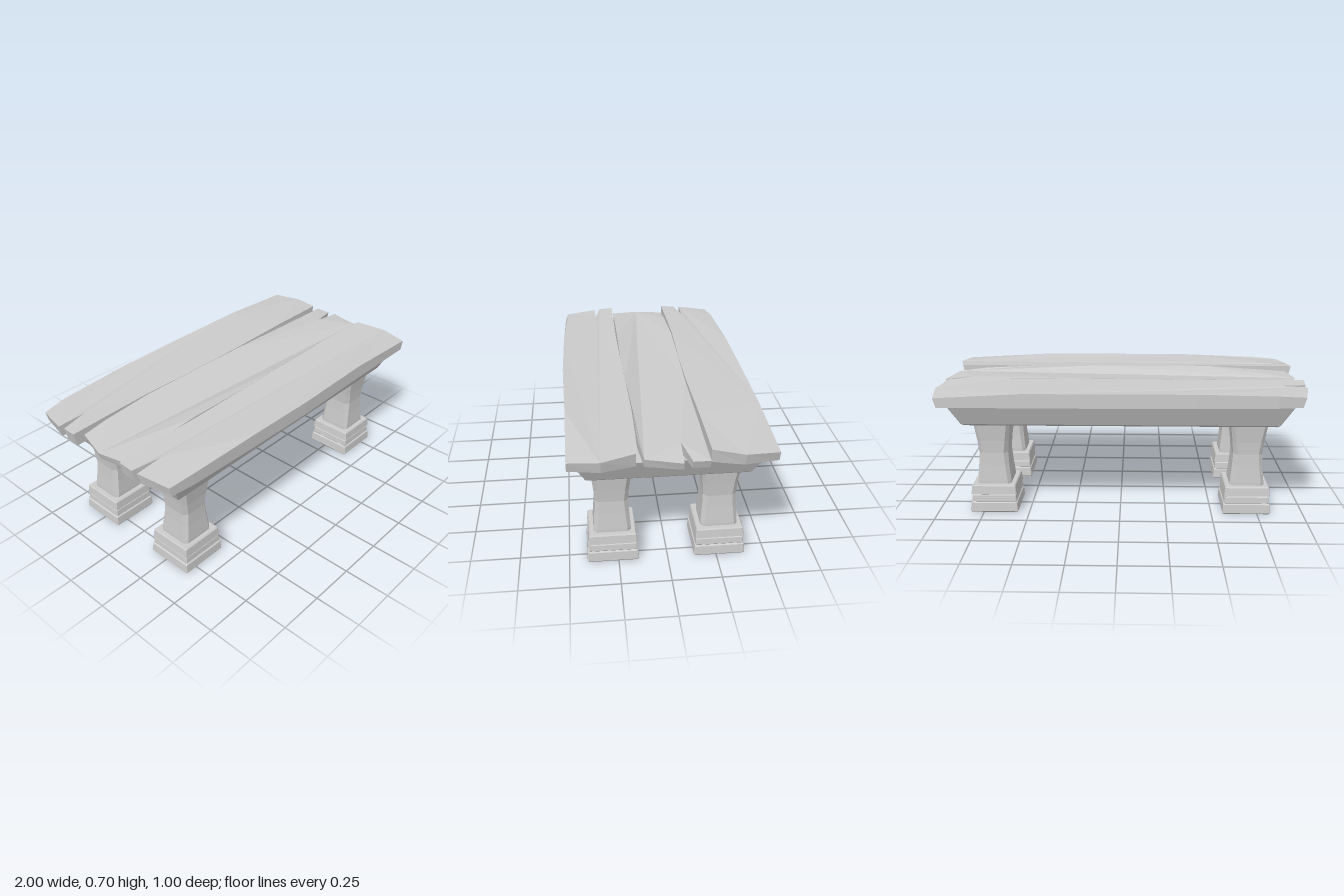
import * as THREE from 'three';

const stone = new THREE.MeshStandardMaterial({ color: 0xcccccc, flatShading: true });

// Rectangular ring with chamfered corners, counter-clockwise seen from above
function ring([hx, hz, y, c = 0.004, ox = 0, oz = 0]) {
  const a = hx - c, b = hz - c;
  return [[hx, b], [hx, -b], [a, -hz], [-a, -hz], [-hx, -b], [-hx, b], [-a, hz], [a, hz]]
    .map(([x, z]) => new THREE.Vector3(x + ox, y, z + oz));
}

// Skin a stack of rings, listed along the surface from its lower end to its upper end
function loft(sections, capStart, capEnd) {
  const rings = sections.map(ring), pos = [];
  const tri = (...pts) => pts.forEach(p => pos.push(p.x, p.y, p.z));
  for (let i = 0; i < rings.length - 1; i++) {
    for (let k = 0; k < 8; k++) {
      const n = (k + 1) % 8, lo = rings[i], hi = rings[i + 1];
      tri(lo[k], lo[n], hi[n]);
      tri(lo[k], hi[n], hi[k]);
    }
  }
  const first = rings[0], last = rings[rings.length - 1];
  for (let k = 1; k < 7; k++) {
    if (capStart) tri(first[0], first[k + 1], first[k]);
    if (capEnd) tri(last[0], last[k], last[k + 1]);
  }
  const g = new THREE.BufferGeometry();
  g.setAttribute('position', new THREE.Float32BufferAttribute(pos, 3));
  g.computeVertexNormals();
  return g;
}

function mesh(geometry, name) {
  const m = new THREE.Mesh(geometry, stone);
  m.name = name;
  return m;
}

// Plank cut from an [x, z] outline; its top dips towards the ends
function plank(outline, name, dip) {
  const shape = new THREE.Shape(outline.map(([x, z]) => new THREE.Vector2(x, -z)));
  const g = new THREE.ExtrudeGeometry(shape, { depth: 1, bevelEnabled: false });
  g.rotateX(-Math.PI / 2);
  const p = g.attributes.position;
  for (let i = 0; i < p.count; i++) {
    const x = p.getX(i), z = p.getZ(i);
    if (p.getY(i) > 0.5) {
      const t = THREE.MathUtils.clamp((Math.abs(x) - 0.5) / 0.5, 0, 1);
      p.setY(i, 0.703 - dip(z) * t * t);
    } else {
      p.setXYZ(i, x * 0.985, 0.627, z);
    }
  }
  g.computeVertexNormals();
  return mesh(g, name);
}

export function createModel() {
  const model = new THREE.Group();
  model.name = 'stoneTable';

  // Weathered planks with split ends and narrow seams
  const outerDip = z => 0.03 * THREE.MathUtils.clamp((Math.abs(z) - 0.15) / 0.35, 0, 1);
  model.add(plank([
    [-0.96, -0.46], [-0.82, -0.48], [-0.4, -0.495], [0, -0.5], [0.5, -0.5], [0.96, -0.5],
    [0.985, -0.335], [0.945, -0.182], [0.6, -0.178], [0.2, -0.168], [-0.1, -0.168],
    [-0.5, -0.178], [-0.8, -0.172], [-1, -0.166], [-0.995, -0.25], [-0.845, -0.283],
    [-1, -0.288],
  ], 'backPlank', outerDip));
  model.add(plank([
    [-0.945, -0.157], [-0.8, -0.163], [-0.5, -0.172], [-0.1, -0.167], [0.2, -0.162],
    [0.6, -0.168], [0.99, -0.172], [0.99, -0.09], [0.84, -0.052], [1, -0.048],
    [0.957, 0.13], [0.8, 0.147], [0.5, 0.152], [0.16, 0.16], [-0.12, 0.167],
    [-0.5, 0.165], [-0.96, 0.163], [-0.99, 0.01],
  ], 'middlePlank', () => 0.035));
  model.add(plank([
    [-0.995, 0.172], [-0.5, 0.174], [-0.12, 0.168], [0.16, 0.161], [0.5, 0.154],
    [0.8, 0.156], [0.947, 0.166], [0.99, 0.33], [0.963, 0.485], [0.5, 0.488], [0, 0.498],
    [-0.4, 0.492], [-0.82, 0.48], [-0.955, 0.465], [-0.99, 0.288], [-0.84, 0.283],
    [-0.995, 0.255],
  ], 'frontPlank', outerDip));

  // Sloping slab under the planks
  model.add(mesh(loft([
    [0.835, 0.39, 0.5], [0.847, 0.402, 0.51], [0.91, 0.456, 0.63],
  ], true, true), 'apron'));

  // Waisted leg on a stepped plinth with a hollow underside
  const shaft = loft([
    [0.093, 0.095, 0.14, 0.018], [0.092, 0.094, 0.17, 0.018], [0.083, 0.087, 0.26, 0.02],
    [0.079, 0.084, 0.33, 0.022], [0.086, 0.088, 0.4, 0.02], [0.1, 0.1, 0.505, 0.018],
  ], true, true);
  const plinth = loft([
    [0.02, 0.02, 0.1], [0.055, 0.055, 0.08], [0.06, 0.06, 0.05], [0.085, 0.085, 0.045],
    [0.09, 0.09, 0.02], [0.11, 0.11, 0.015], [0.115, 0.115, 0],
    [0.126, 0.126, 0], [0.131, 0.131, 0.007], [0.127, 0.127, 0.054], [0.12, 0.12, 0.06],
    [0.123, 0.123, 0.064], [0.12, 0.12, 0.095], [0.113, 0.113, 0.099],
    [0.124, 0.124, 0.104], [0.119, 0.119, 0.149], [0.114, 0.114, 0.155],
  ], true, true);
  for (const [sx, xName] of [[-1, 'Right'], [1, 'Left']]) {
    for (const [z, zName] of [[0.277, 'front'], [-0.266, 'back']]) {
      const leg = new THREE.Group();
      leg.name = zName + xName + 'Leg';
      leg.add(mesh(shaft, 'shaft'), mesh(plinth, 'plinth'));
      leg.position.set(sx * 0.692, 0, z);
      model.add(leg);
    }
  }
  return model;
}
